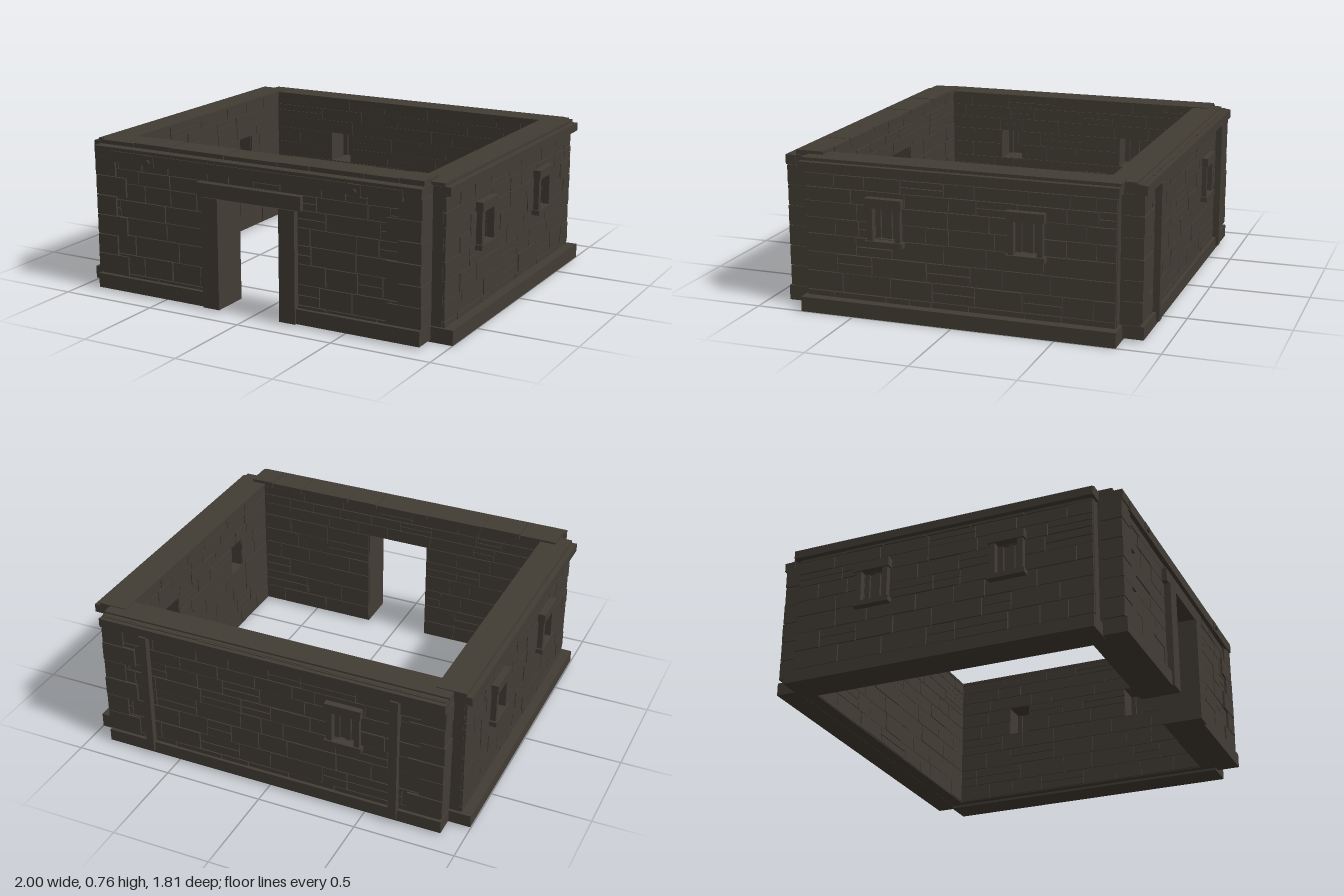
import * as THREE from 'three';
import { mergeGeometries } from 'three/addons/utils/BufferGeometryUtils.js';

const stone = new THREE.MeshStandardMaterial({ color: 0x423c34 });
stone.name = 'darkStone';

// Small seeded random generator
let seed = 7;
const rnd = () => (seed = (seed * 16807) % 2147483647) / 2147483647;

// Box given by its min and max on each axis
function box(x0, x1, y0, y1, z0, z1) {
  const g = new THREE.BoxGeometry(x1 - x0, y1 - y0, z1 - z0);
  g.translate((x0 + x1) / 2, (y0 + y1) / 2, (z0 + z1) / 2);
  return g;
}

function add(group, name, geos) {
  const mesh = new THREE.Mesh(mergeGeometries([].concat(geos)), stone);
  mesh.name = name;
  group.add(mesh);
  return mesh;
}

// Solid slab between two depths, pierced by rectangular openings
function core(u0, u1, y0, y1, z0, z1, holes) {
  const s = new THREE.Shape();
  const door = holes.find((h) => h.y0 <= y0);
  s.moveTo(u0, y0);
  if (door) {
    s.lineTo(door.u0, y0); s.lineTo(door.u0, door.y1);
    s.lineTo(door.u1, door.y1); s.lineTo(door.u1, y0);
  }
  s.lineTo(u1, y0); s.lineTo(u1, y1); s.lineTo(u0, y1); s.closePath();
  for (const h of holes) {
    if (h === door) continue;
    const p = new THREE.Path();
    p.moveTo(h.u0, h.y0); p.lineTo(h.u0, h.y1);
    p.lineTo(h.u1, h.y1); p.lineTo(h.u1, h.y0); p.closePath();
    s.holes.push(p);
  }
  const g = new THREE.ExtrudeGeometry(s, { depth: z1 - z0, bevelEnabled: false });
  g.translate(0, 0, z0);
  return g;
}

// Courses of irregular stones on one face; rows align with the openings
function masonry(u0, u1, rows, zBack, zFace, holes) {
  const out = [], gap = 0.0025;
  const dir = Math.sign(zFace - zBack);
  for (let r = 0; r + 1 < rows.length; r++) {
    const a = rows[r], b = rows[r + 1], mid = (a + b) / 2;
    const cuts = holes.filter((h) => mid > h.y0 && mid < h.y1).sort((p, q) => p.u0 - q.u0);
    let start = u0;
    for (const c of [...cuts, { u0: u1, u1 }]) {
      for (let u = start; u < c.u0 - 0.001;) {
        let e = u + 0.11 + rnd() * 0.17;
        if (c.u0 - e < 0.07) e = c.u0;
        const f = zFace - dir * rnd() * 0.004;
        const parts = rnd() < 0.2 ? [[a, mid], [mid, b]] : [[a, b]];
        for (const [p, q] of parts) {
          out.push(box(u + gap, e - gap, p + gap, q - gap * rnd(), Math.min(zBack, f), Math.max(zBack, f)));
        }
        u = e;
      }
      start = c.u1;
    }
  }
  return out;
}

const WIN_ROWS = [0.015, 0.1, 0.195, 0.29, 0.38, 0.46, 0.54, 0.61, 0.675, 0.735];
const DOOR_ROWS = [0.015, 0.1, 0.2, 0.3, 0.39, 0.475, 0.56, 0.63, 0.685, 0.735];
const windowHole = (u) => ({ u0: u - 0.058, u1: u + 0.058, y0: 0.38, y1: 0.54 });

// Frame, sill and upright bars of one window
function addWindow(group, u, zWall, zOut) {
  const w = new THREE.Group();
  w.name = 'window';
  add(w, 'windowFrame', [
    box(u - 0.083, u - 0.056, 0.38, 0.54, zWall, zOut - 0.008),
    box(u + 0.056, u + 0.083, 0.38, 0.54, zWall, zOut - 0.008),
    box(u - 0.092, u + 0.092, 0.54, 0.585, zWall, zOut),
    box(u - 0.094, u + 0.094, 0.355, 0.38, zWall, zOut),
  ]);
  const bars = [];
  for (let i = 0; i < 4; i++) {
    const c = u + (i - 1.5) * 0.028, d = i % 2 * 0.008;
    bars.push(box(c - 0.0125, c + 0.0125, 0.386, 0.534, zWall - 0.025 - d, zWall - 0.003 - d));
  }
  add(w, 'windowBars', bars);
  group.add(w);
}

// Alternating long and short corner blocks on both ends of a wall
function addQuoins(group, zBack, zFace) {
  const blocks = [];
  for (const s of [-1, 1]) {
    for (let i = 0; i < 6; i++) {
      const y = 0.09 + i * 0.1, inner = i % 2 ? 0.775 : 0.715, end = 0.887 + rnd() * 0.006;
      const x = [s * inner, s * end].sort((a, b) => a - b);
      blocks.push(box(x[0], x[1], y + 0.002, y + 0.098, zBack, zFace - rnd() * 0.004));
    }
  }
  add(group, 'cornerStones', blocks);
}

function wall(name, angle) {
  const g = new THREE.Group();
  g.name = name;
  g.rotation.y = angle;
  return g;
}

// Front wall with doorway
function frontWall() {
  const g = wall('frontWall', 0);
  const holes = [{ u0: -0.17, u1: 0.17, y0: 0, y1: 0.56 }];
  add(g, 'wallCore', core(-0.885, 0.885, 0.013, 0.738, 0.698, 0.855, holes));
  add(g, 'outerStones', masonry(-0.885, 0.885, DOOR_ROWS, 0.85, 0.866, holes));
  add(g, 'innerStones', masonry(-0.805, 0.805, DOOR_ROWS, 0.7, 0.69, holes));
  addQuoins(g, 0.77, 0.876);
  add(g, 'plinth', [-1, 1].map((s) => box(s < 0 ? -0.89 : 0.25, s < 0 ? -0.25 : 0.89, 0.012, 0.085, 0.77, 0.885)));
  add(g, 'doorJambs', [
    box(-0.258, -0.168, 0.012, 0.56, 0.7, 0.897),
    box(0.168, 0.253, 0.012, 0.56, 0.7, 0.897),
  ]);
  add(g, 'doorLintel', box(-0.288, 0.282, 0.56, 0.628, 0.84, 0.89));
  add(g, 'topBand', [
    box(-0.8, 0.8, 0.672, 0.722, 0.85, 0.886),
    box(-0.89, 0.89, 0.69, 0.738, 0.83, 0.88),
  ]);
  // Square plates with round bolt heads
  for (const x of [-0.565, 0.56]) {
    add(g, 'boltPlate', box(x - 0.03, x + 0.03, 0.665, 0.722, 0.88, 0.89));
    const bolt = new THREE.CylinderGeometry(0.012, 0.012, 0.014, 8).rotateX(Math.PI / 2);
    add(g, 'bolt', bolt.translate(x, 0.69, 0.894));
  }
  // Coping slabs of uneven length
  const xs = [-0.888, -0.69, -0.48, -0.17, 0.125, 0.295, 0.575, 0.755, 0.88];
  add(g, 'copingStones', xs.slice(1).map((x, i) =>
    box(xs[i] + 0.002, x - 0.002, 0.735, 0.757 + rnd() * 0.006, 0.684 + rnd() * 0.005, 0.83)));
  return g;
}

// Back wall with one window and two pilasters
function backWall() {
  const g = wall('backWall', Math.PI);
  const u = 0.395, holes = [windowHole(u)];
  add(g, 'wallCore', core(-0.885, 0.885, 0.013, 0.735, 0.715, 0.865, holes));
  add(g, 'outerStones', masonry(-0.885, 0.885, WIN_ROWS, 0.86, 0.876, holes));
  add(g, 'innerStones', masonry(-0.805, 0.805, WIN_ROWS, 0.72, 0.71, holes));
  addQuoins(g, 0.785, 0.886);
  add(g, 'plinth', box(-0.89, 0.89, 0.012, 0.075, 0.78, 0.89));
  add(g, 'topBand', box(-0.89, 0.89, 0.685, 0.73, 0.84, 0.896));
  add(g, 'wallCap', box(-0.89, 0.89, 0.73, 0.743, 0.707, 0.845));
  add(g, 'pilasters', [-0.65, 0.65].map((x) => box(x - 0.02, x + 0.02, 0.03, 0.69, 0.86, 0.906)));
  addWindow(g, u, 0.87, 0.905);
  return g;
}

// Side wall with two windows
function sideWall(name, s) {
  const g = wall(name, s * Math.PI / 2);
  const at = (z) => -s * z;
  const span = (z0, z1) => [at(z0), at(z1)].sort((a, b) => a - b);
  const zs = [0.34, -0.355], holes = zs.map((z) => windowHole(at(z)));
  const [u0, u1] = span(-0.775, 0.755);
  add(g, 'wallCore', core(u0, u1, 0.013, 0.735, 0.812, 0.938, holes));
  add(g, 'outerStones', masonry(u0, u1, WIN_ROWS, 0.93, 0.952, holes));
  const [i0, i1] = span(-0.71, 0.69);
  add(g, 'innerStones', masonry(i0, i1, WIN_ROWS, 0.815, 0.804, holes));
  const [p0, p1] = span(-0.79, 0.768);
  add(g, 'plinth', box(p0, p1, s > 0 ? 0 : 0.01, 0.073, 0.85, 1.0));
  add(g, 'topBand', box(p0, p1, 0.69, 0.732, 0.9, 0.978));
  const [c0, c1] = span(-0.79, 0.765);
  add(g, 'wallCap', box(c0, c1, 0.732, 0.747, 0.803, 0.95));
  for (const z of zs) addWindow(g, at(z), 0.945, 0.987);
  return g;
}

export function createModel() {
  const model = new THREE.Group();
  model.name = 'rooflessStoneHouse';
  model.add(frontWall(), backWall(), sideWall('leftWall', 1), sideWall('rightWall', -1));
  return model;
}
